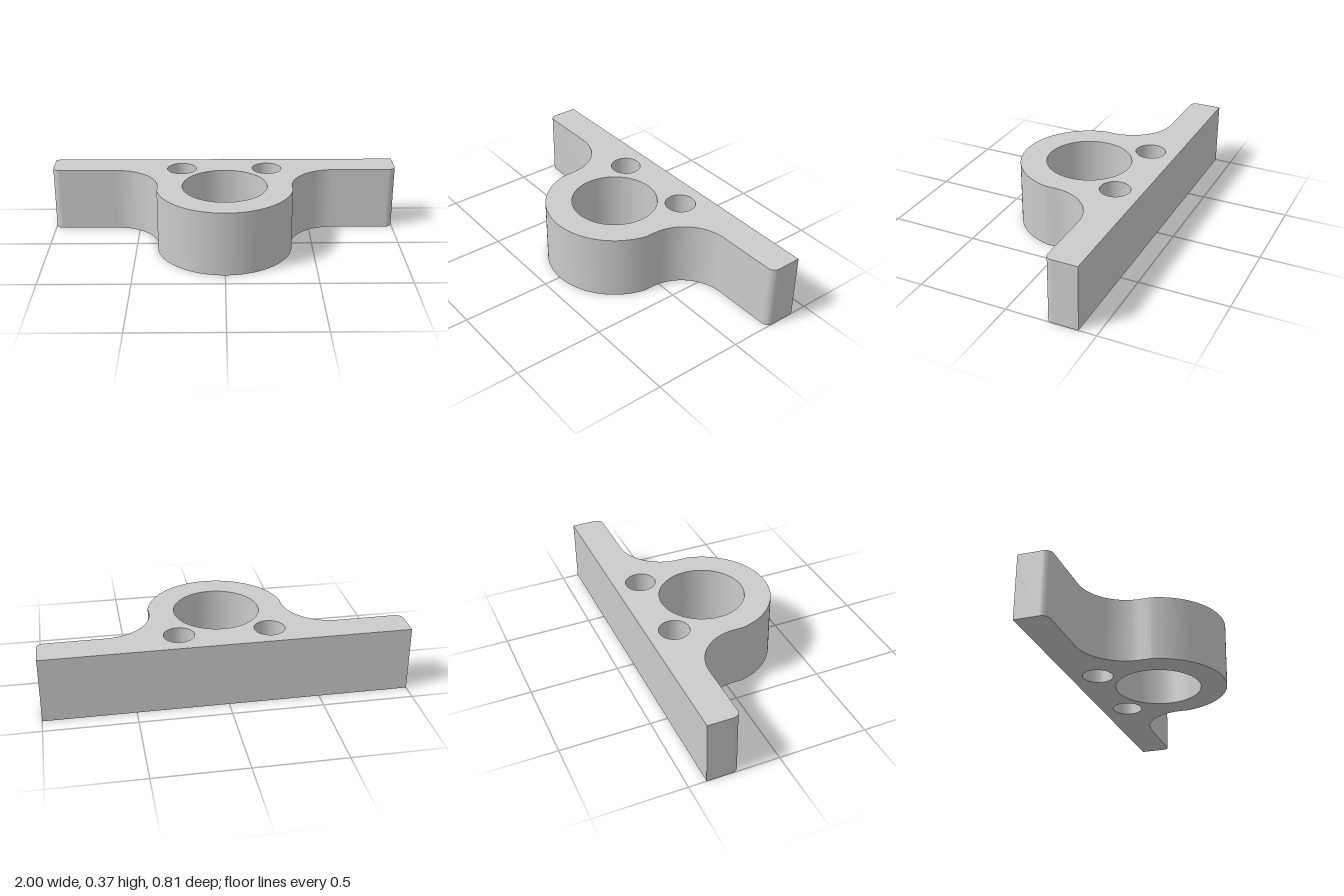
import * as THREE from 'three';
import { toCreasedNormals } from 'three/addons/utils/BufferGeometryUtils.js';

const HEIGHT = 0.365;
const BACK = 0.403, FRONT = 0.224;          // plate faces (shape y = -z)
const RING_Y = -0.019, RING_R = 0.384, BORE_R = 0.238;
const NECK = 0.377;                         // half width of the neck behind the ring
const FILLET = 0.26, CORNER = 0.04;

function circleHole(x, y, r) {
  return new THREE.Path().absarc(x, y, r, 0, Math.PI * 2, true);
}

export function createModel() {
  const group = new THREE.Group();
  group.name = 'mountingBracket';

  const PI = Math.PI;
  const fx = NECK + FILLET, fy = FRONT - FILLET;
  const a = Math.acos(NECK / RING_R);       // where the neck sides meet the ring

  // Plan outline: plate, rounded ends, quarter-circle fillets, short neck and ring
  const outline = new THREE.Shape();
  outline.moveTo(-1, BACK);
  outline.lineTo(-1, FRONT + CORNER);
  outline.absarc(-1 + CORNER, FRONT + CORNER, CORNER, PI, PI * 1.5, false);
  outline.absarc(-fx, fy, FILLET, PI / 2, 0, true);
  outline.absarc(0, RING_Y, RING_R, PI + a, 2 * PI - a, false);
  outline.absarc(fx, fy, FILLET, PI, PI / 2, true);
  outline.absarc(1 - CORNER, FRONT + CORNER, CORNER, -PI / 2, 0, false);
  outline.lineTo(1, BACK);
  outline.closePath();

  // Central bore and two bolt holes
  outline.holes.push(circleHole(0, RING_Y, BORE_R));
  for (const side of [-1, 1]) outline.holes.push(circleHole(side * 0.247, 0.251, 0.084));

  const solid = new THREE.ExtrudeGeometry(outline, { depth: HEIGHT, bevelEnabled: false, curveSegments: 48 });
  solid.rotateX(-PI / 2);

  const bracket = new THREE.Mesh(
    toCreasedNormals(solid, 0.6),
    new THREE.MeshStandardMaterial({ color: 0xcccccc })
  );
  bracket.name = 'bracketBody';
  group.add(bracket);
  return group;
}
